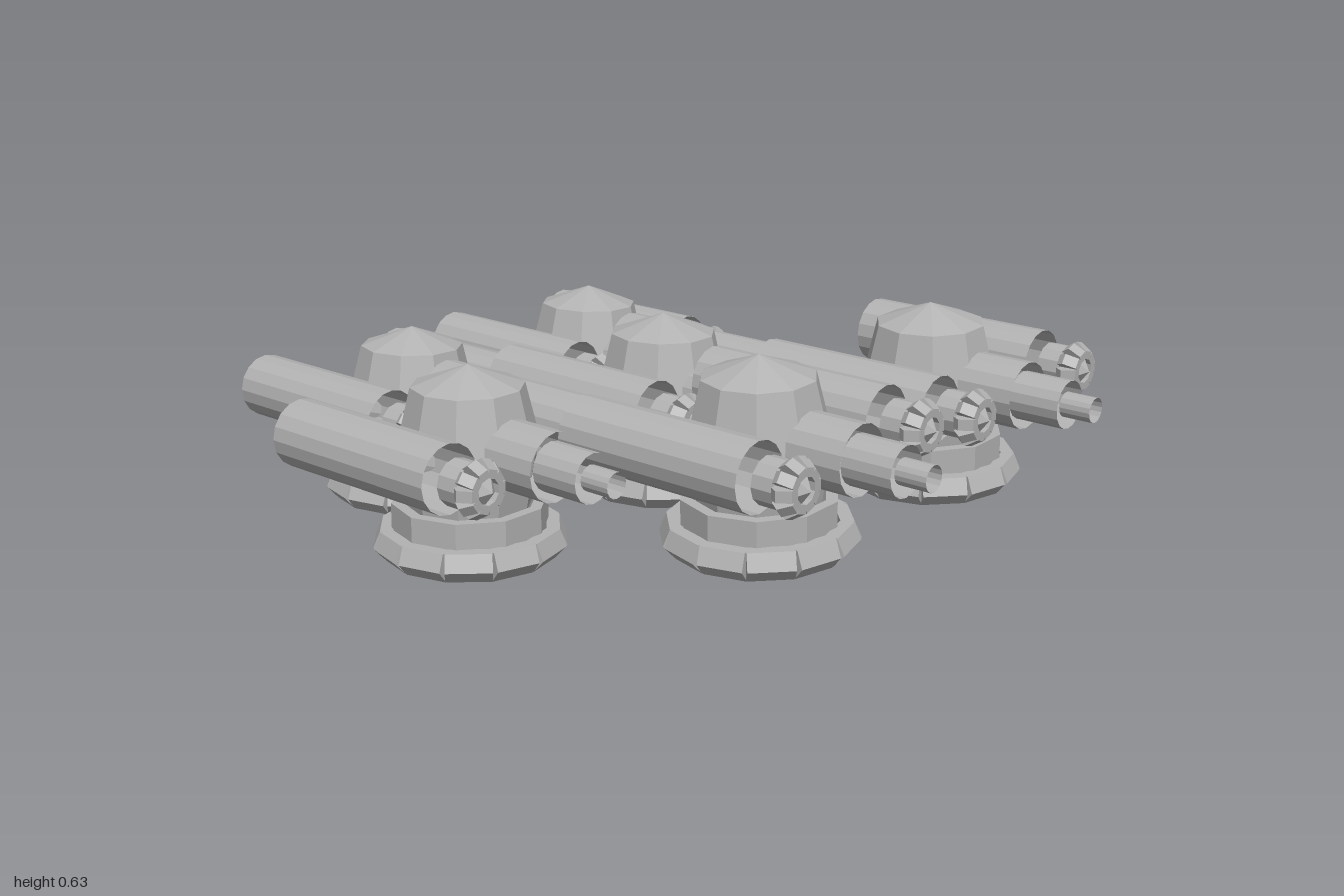
import * as THREE from 'three';

const grey = new THREE.MeshStandardMaterial({ color: 0xb2b2b2, flatShading: true, side: THREE.DoubleSide });
grey.name = 'plain grey';

function add(parent, name, geometry, x = 0, y = 0, z = 0) {
  const mesh = new THREE.Mesh(geometry, grey);
  mesh.name = name;
  mesh.position.set(x, y, z);
  parent.add(mesh);
  return mesh;
}

// Ten-sided turned part with flat faces to front and back
function lathe(points) {
  return new THREE.LatheGeometry(points.map(p => new THREE.Vector2(...p)), 10, Math.PI / 10);
}

// Open pipe along z, from z0 to z1
function pipe(radius, z0, z1, sides = 16) {
  return new THREE.CylinderGeometry(radius, radius, z1 - z0, sides, 1, true)
    .rotateX(Math.PI / 2).translate(0, 0, (z0 + z1) / 2);
}

// Ring of separate blocks around y; the profile is [radius, height]
function blockRing(name, profile, width, count) {
  const ring = new THREE.Group();
  ring.name = name;
  const shape = new THREE.Shape(profile.map(p => new THREE.Vector2(...p)));
  const block = new THREE.ExtrudeGeometry(shape, { depth: width, bevelEnabled: false });
  block.translate(0, 0, -width / 2);
  for (let i = 0; i < count; i++) {
    add(ring, name + 'Block', block).rotation.y = (i + 0.5) / count * Math.PI * 2 + Math.PI / 2;
  }
  return ring;
}

// Short collar with a toothed nozzle in front of a side tube
function makeNozzle() {
  const nozzle = new THREE.Group();
  nozzle.name = 'nozzle';
  add(nozzle, 'nozzleCollar', pipe(0.056, 0.205, 0.265, 12));
  const teeth = blockRing('nozzleTeeth',
    [[0.03, 0], [0.056, 0], [0.069, 0.02], [0.05, 0.05], [0.03, 0.05]], 0.027, 10);
  teeth.rotation.x = Math.PI / 2;
  teeth.position.z = 0.26;
  nozzle.add(teeth);
  add(nozzle, 'nozzleTip', new THREE.ConeGeometry(0.045, 0.035, 5).rotateX(Math.PI / 2), 0, 0, 0.305);
  return nozzle;
}

function makeTurret() {
  const turret = new THREE.Group();
  turret.name = 'turret';
  // Base
  turret.add(blockRing('baseRing',
    [[0.18, 0.012], [0.2, 0], [0.229, 0.032], [0.212, 0.073], [0.18, 0.073]], 0.11, 12));
  add(turret, 'collar', lathe([[0.16, 0.06], [0.188, 0.06], [0.188, 0.135], [0.16, 0.135], [0.16, 0.06]]));
  // Faceted dome
  add(turret, 'dome', lathe([[0.15, 0.125], [0.173, 0.262], [0.136, 0.415], [0, 0.465]]));
  // Stepped front barrel
  [[0.084, 0.12, 0.285], [0.06, 0.27, 0.4], [0.031, 0.39, 0.47]].forEach(([r, a, b]) =>
    add(turret, 'barrelSection', pipe(r, a, b), 0, 0.275, 0));
  // Side tubes and their nozzles
  for (const side of [-1, 1]) {
    add(turret, 'sideTube', pipe(0.083, -0.328, 0.185), side * 0.235, 0.283, 0);
    const nozzle = makeNozzle();
    nozzle.position.set(side * 0.235, 0.283, 0);
    turret.add(nozzle);
  }
  return turret;
}

export function createModel() {
  const model = new THREE.Group();
  model.name = 'turretCluster';
  // Staggered rows stepping down to the back: x, base height, z, tilt in degrees
  const places = [
    [-0.178, 0.172, 0.53, 2.3], [0.518, 0.163, 0.53, 2.3],
    [-0.53, 0.106, -0.07, -0.4], [0.167, 0.097, -0.07, -0.4],
    [-0.179, 0.022, -0.672, -2], [0.515, 0.01, -0.672, -2],
  ];
  for (const [x, y, z, tilt] of places) {
    const turret = makeTurret();
    turret.position.set(x, y, z);
    turret.rotation.z = THREE.MathUtils.degToRad(tilt);
    model.add(turret);
  }
  return model;
}
